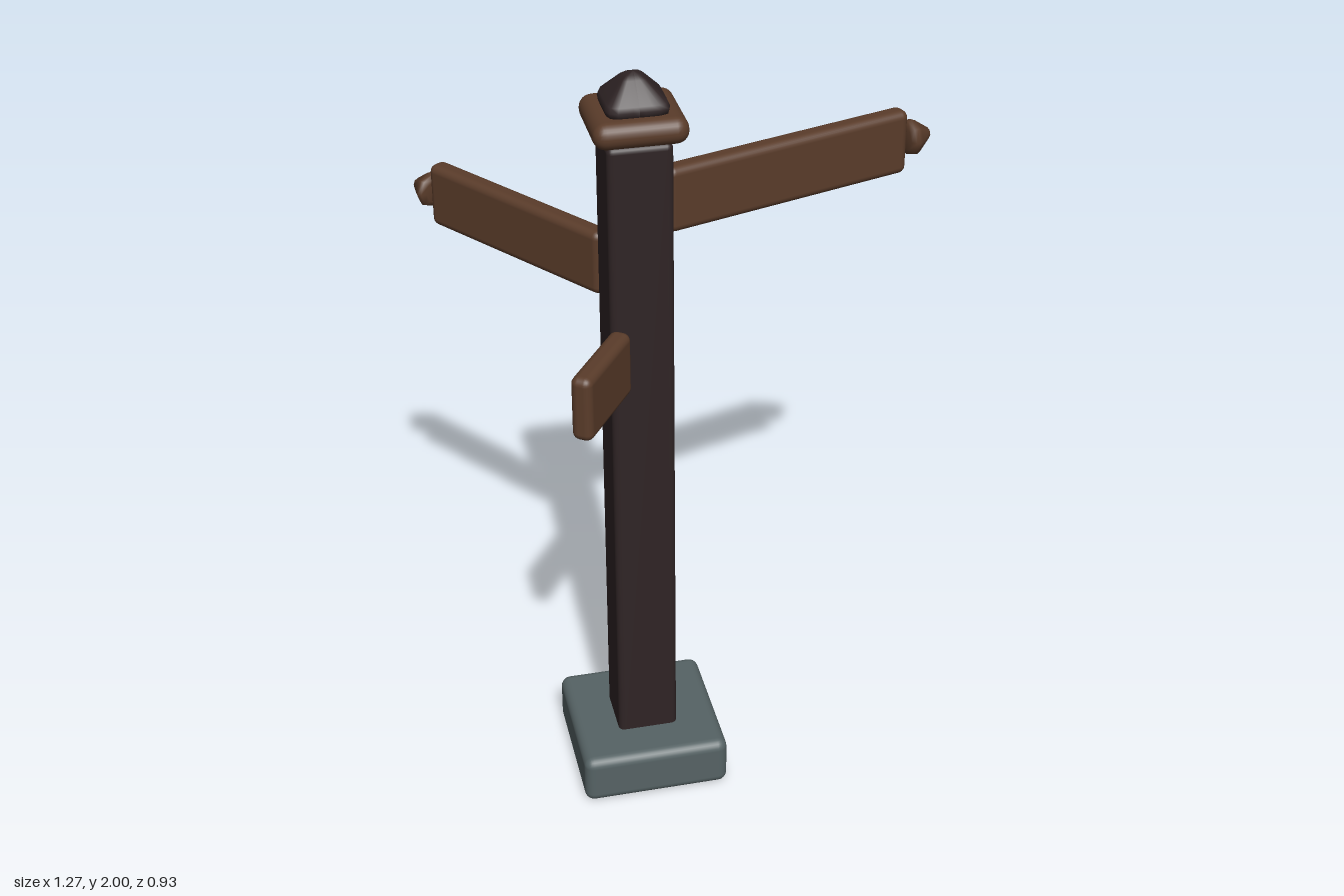
import * as THREE from 'three';
import { RoundedBoxGeometry } from 'three/addons/geometries/RoundedBoxGeometry.js';

const CX = -0.171, CZ = 0.166; // post axis

export function createModel() {
  const root = new THREE.Group();
  root.name = 'signpost';

  const material = (name, color) => {
    const m = new THREE.MeshStandardMaterial({ color });
    m.name = name;
    return m;
  };
  const stone = material('stone', 0x566365);
  const darkWood = material('darkWood', 0x2f2425);
  const wood = material('wood', 0x5a3c2a);

  const add = (parent, name, geometry, mat, x, y, z) => {
    const mesh = new THREE.Mesh(geometry, mat);
    mesh.name = name;
    mesh.position.set(x, y, z);
    parent.add(mesh);
    return mesh;
  };
  const block = (w, h, d, r) => new RoundedBoxGeometry(w, h, d, 3, r);
  const lathe = (points, sides) =>
    new THREE.LatheGeometry(points.map(([r, y]) => new THREE.Vector2(r, y)), sides);

  // Foot, post and collar
  add(root, 'base', block(0.388, 0.138, 0.388, 0.026), stone, CX, 0.069, CZ);
  add(root, 'post', block(0.158, 1.745, 0.158, 0.016), darkWood, CX, 0.9725, CZ);
  add(root, 'collar', block(0.226, 0.066, 0.226, 0.032), wood, CX, 1.882, CZ);

  // Finial: a turned profile squared off into a soft pyramid
  const finial = lathe([[0, 0], [0.066, 0], [0.074, 0.006], [0.076, 0.018], [0.071, 0.03],
    [0.028, 0.076], [0.016, 0.085], [0, 0.09]], 32);
  const p = finial.attributes.position;
  for (let i = 0; i < p.count; i++) {
    const x = p.getX(i), z = p.getZ(i), r = Math.hypot(x, z);
    if (r < 1e-6) continue;
    const k = 1 / Math.pow(Math.abs(x / r) ** 7 + Math.abs(z / r) ** 7, 1 / 7);
    p.setXYZ(i, x * k, p.getY(i), z * k);
  }
  finial.computeVertexNormals();
  add(root, 'finial', finial, darkWood, CX, 1.91, CZ);

  // Direction boards, each running outward from the post; tip is its start distance
  const tipShape = lathe([[0, 0], [0.032, 0], [0.045, 0.008], [0.048, 0.018],
    [0.042, 0.03], [0.014, 0.07], [0, 0.078]], 8);
  tipShape.rotateZ(-Math.PI / 2);
  const boards = [
    { name: 'upperBoard', dx: 0.732, dz: -0.225, y: 1.656, start: 0.08, end: 0.767, tip: 0.772 },
    { name: 'middleBoard', dx: -0.402, dz: -0.561, y: 1.472, start: 0.1, end: 0.7, tip: 0.703 },
    { name: 'lowerBoard', dx: -0.19, dz: 0.279, y: 1.286, start: 0.09, end: 0.345 },
  ];
  for (const b of boards) {
    const arm = new THREE.Group();
    arm.name = b.name;
    arm.position.set(CX, b.y, CZ);
    arm.rotation.y = Math.atan2(-b.dz, b.dx);
    add(arm, 'board', block(b.end - b.start, 0.17, 0.054, 0.02), wood, (b.start + b.end) / 2, 0, 0);
    if (b.tip) add(arm, 'pointer', tipShape, wood, b.tip, 0, 0);
    root.add(arm);
  }
  return root;
}
